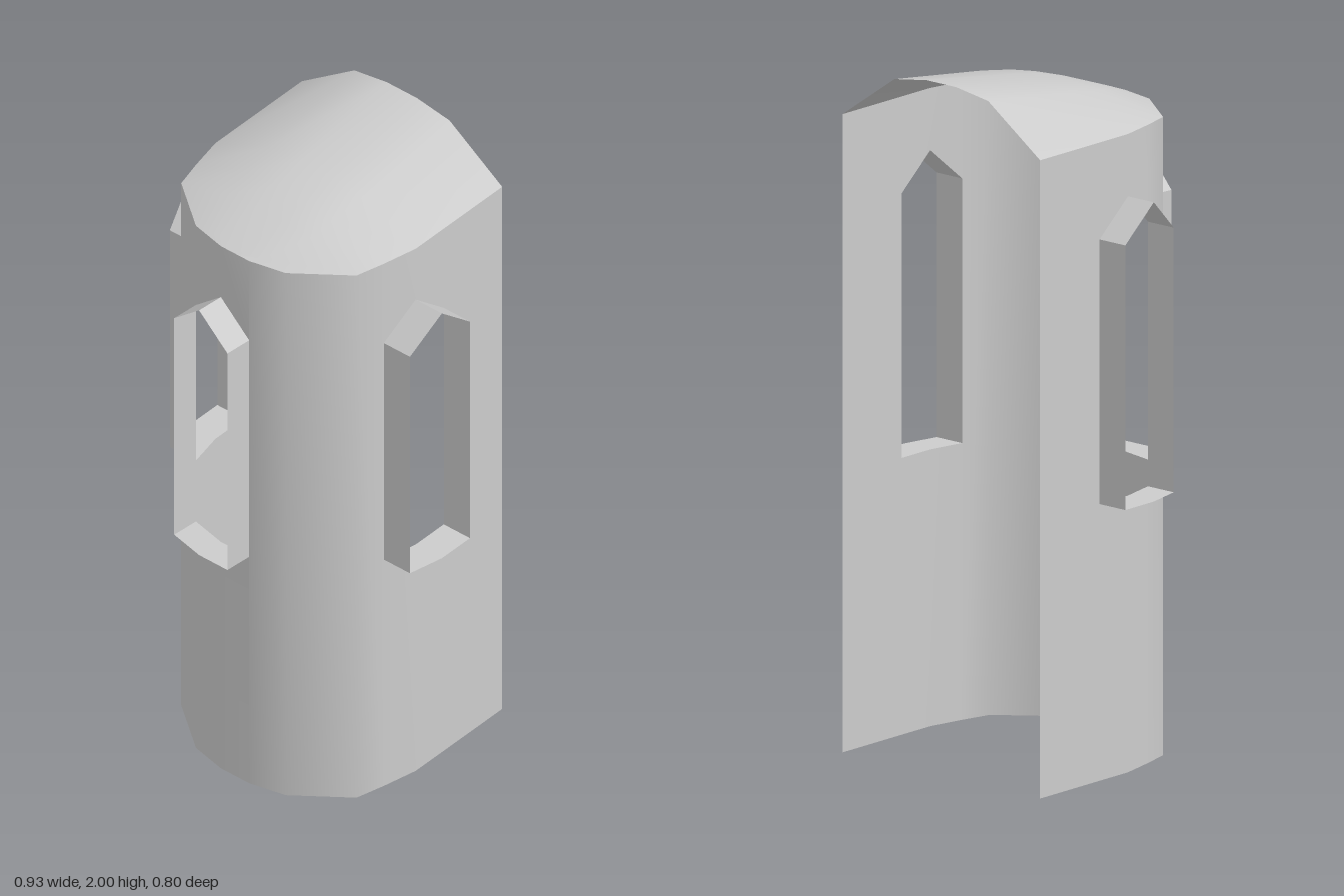
import * as THREE from 'three';
import { toCreasedNormals } from 'three/addons/utils/BufferGeometryUtils.js';

const EAVES = 1.845, SILL = 0.8, SPRING = 1.565, APEX = 1.665;

// Plan outline [x, z] from the back of the left wall, round the front, to the back of the right wall
const leftPlan = [[0.368, -0.4], [0.368, -0.15], [0.368, -0.03], [0.345, 0.08], [0.322, 0.17], [0.165, 0.29], [0.052, 0.315]];
const plan = [...leftPlan, ...leftPlan.map(([x, z]) => [-x, z]).reverse()];

// Each window spans two neighbouring facets, starting at a plan index, with a sleeve pushed outwards
const windows = [
  { name: 'leftWindowFrame', start: 1, out: [0.096, 0] },
  { name: 'frontWindowFrame', start: 6, out: [-0.007, 0.085] },
  { name: 'rightWindowFrame', start: 10, out: [-0.096, 0] },
];

const material = new THREE.MeshStandardMaterial({ color: 0xcccccc, side: THREE.DoubleSide });

// Mesh from a list of quads; crease 0 gives flat faces
function quadMesh(name, quads, crease) {
  const pos = quads.flatMap(([a, b, c, d]) => [a, b, c, a, c, d].flat());
  let geometry = new THREE.BufferGeometry();
  geometry.setAttribute('position', new THREE.Float32BufferAttribute(pos, 3));
  geometry.computeVertexNormals();
  if (crease) geometry = toCreasedNormals(geometry, crease);
  const mesh = new THREE.Mesh(geometry, material);
  mesh.name = name;
  return mesh;
}

const at = (i, y) => [plan[i][0], y, plan[i][1]];

// Thin U-shaped wall, open at the back, with pointed window openings
function wall() {
  const quads = [];
  const strip = (i, y0, y1, top) =>
    quads.push([at(i, y0), at(i, top), at(i + 1, top), at(i + 1, y1)]);
  for (let i = 0; i < plan.length - 1; i++) {
    const win = windows.find(w => i === w.start || i === w.start + 1);
    if (!win) { strip(i, 0, 0, EAVES); continue; }
    const rising = i === win.start;
    strip(i, 0, 0, SILL);
    strip(i, rising ? SPRING : APEX, rising ? APEX : SPRING, EAVES);
  }
  return quadMesh('wall', quads, 0.8);
}

// Thin sleeve following the edge of a window opening
function windowFrame({ name, start: s, out }) {
  const loop = [at(s, SILL), at(s + 1, SILL), at(s + 2, SILL),
    at(s + 2, SPRING), at(s + 1, APEX), at(s, SPRING)];
  const push = ([x, y, z]) => [x + out[0], y, z + out[1]];
  const quads = loop.map((p, i) => {
    const q = loop[(i + 1) % loop.length];
    return [p, push(p), push(q), q];
  });
  return quadMesh(name, quads, 0);
}

// Vaulted roof rising from the front eaves to an arch at the back
function roof() {
  // [half width, z, crown height] of each cross-section
  const sections = [[0.052, 0.315, EAVES], [0.165, 0.29, 1.855], [0.322, 0.17, 1.898],
    [0.345, 0.08, 1.922], [0.368, -0.03, 1.942], [0.368, -0.4, 2]];
  // [fraction of half width, fraction of rise]
  const arch = [[-1, 0], [-0.475, 0.88], [-0.15, 1], [0.15, 1], [0.475, 0.88], [1, 0]];
  const rows = sections.map(([w, z, h]) => arch.map(([s, a]) => [w * s, EAVES + (h - EAVES) * a, z]));
  const quads = [];
  for (let i = 0; i < rows.length - 1; i++)
    for (let j = 0; j < arch.length - 1; j++)
      quads.push([rows[i][j], rows[i][j + 1], rows[i + 1][j + 1], rows[i + 1][j]]);
  return quadMesh('roof', quads, 0.8);
}

export function createModel() {
  const group = new THREE.Group();
  group.name = 'tower';
  group.add(wall(), roof(), ...windows.map(windowFrame));
  return group;
}
